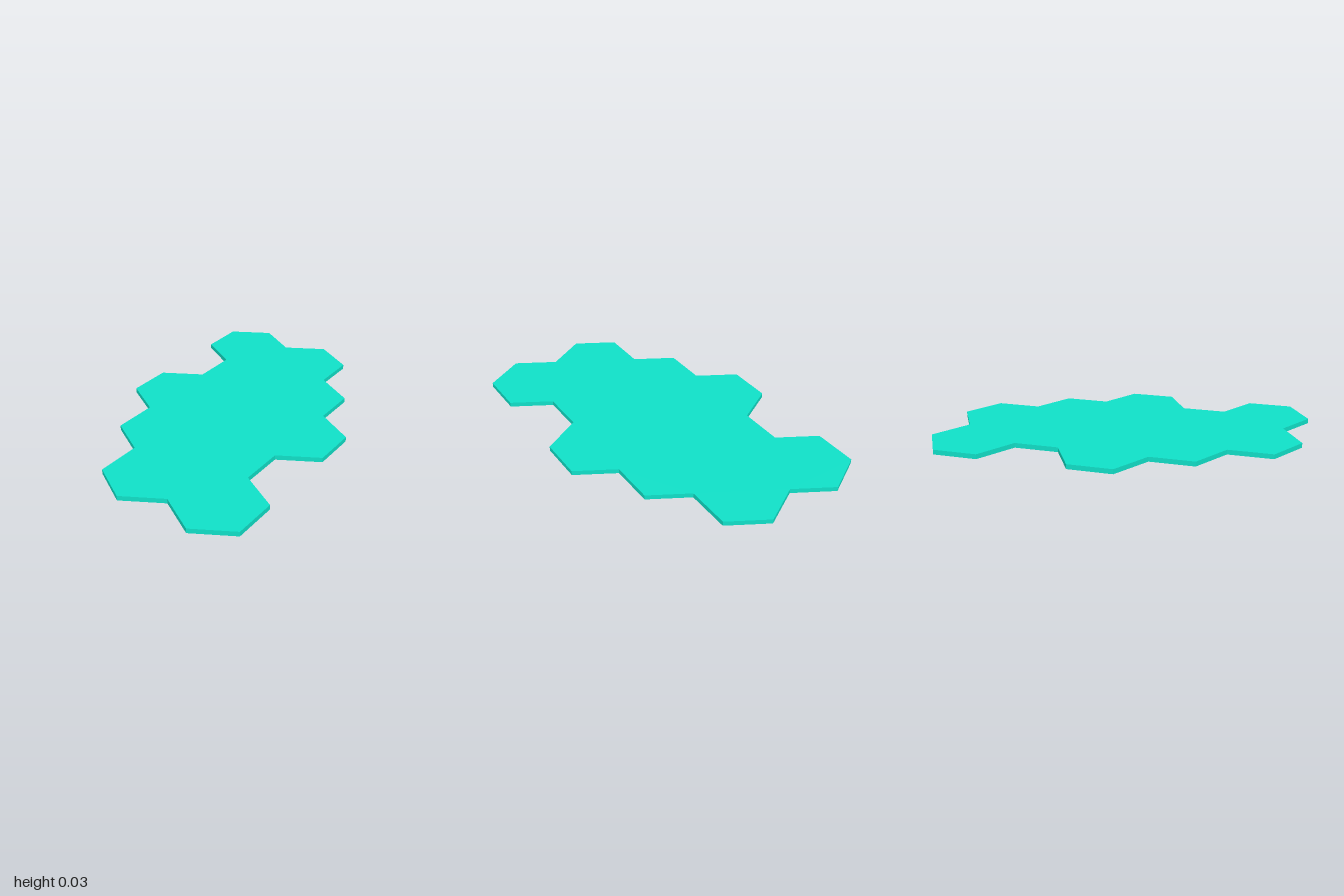
import * as THREE from 'three';

// Flat slab of eleven joined hexagonal cells, outlined as one shape
const CELL = 0.2;                          // centre to flat side of a cell
const HALF_SIDE = CELL / Math.sqrt(3);     // half of a cell's side length
const THICKNESS = 0.025;

export function createModel() {
  const group = new THREE.Group();
  group.name = 'hexTile';

  // Half of the outline in steps of (HALF_SIDE, CELL) along x and z
  const half = [
    [1, -5], [2, -4], [4, -4], [5, -3], [4, -2], [5, -1], [4, 0],
    [5, 1], [4, 2], [2, 2], [1, 3], [2, 4], [1, 5],
  ];
  // The other half is the same path turned by 180 degrees
  const outline = [...half, ...half.map(([x, z]) => [-x, -z])]
    .map(([x, z]) => new THREE.Vector2(x * HALF_SIDE, -z * CELL));

  const geometry = new THREE.ExtrudeGeometry(new THREE.Shape(outline), {
    depth: THICKNESS,
    bevelEnabled: false,
  });
  geometry.rotateX(-Math.PI / 2);          // lay flat, thickness upward

  const slab = new THREE.Mesh(
    geometry,
    new THREE.MeshStandardMaterial({ color: 0x10e0c8 }),
  );
  slab.name = 'hexCellSlab';
  group.add(slab);
  return group;
}
